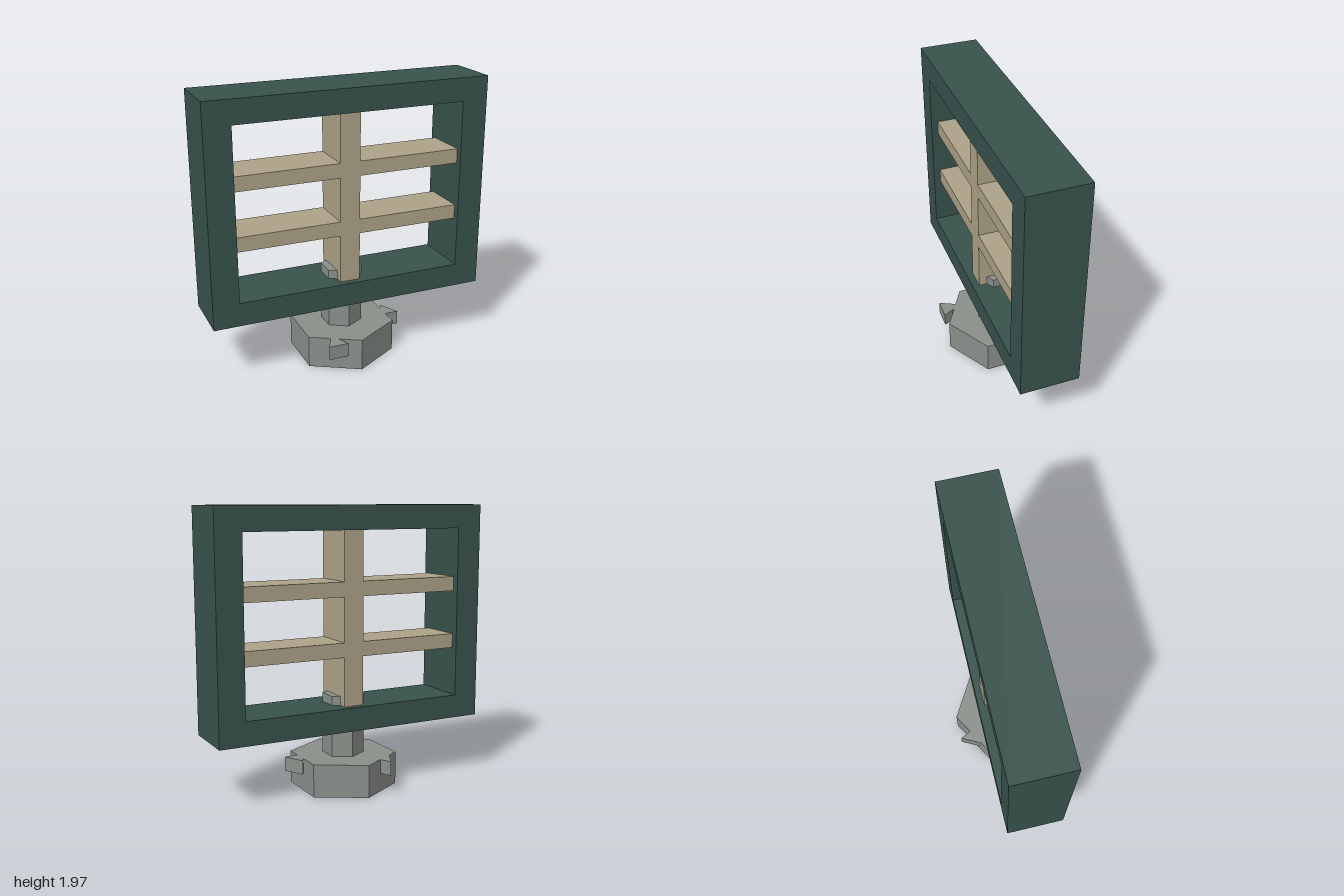
import * as THREE from 'three';

export function createModel() {
  const model = new THREE.Group();
  const green = new THREE.MeshStandardMaterial({ color: 0x38524c, flatShading: true });
  green.name = 'dark green';
  const tan = new THREE.MeshStandardMaterial({ color: 0xada287, flatShading: true });
  tan.name = 'tan';
  const grey = new THREE.MeshStandardMaterial({ color: 0x8a8f8a, flatShading: true });
  grey.name = 'grey';

  const add = (name, geometry, material, x = 0, y = 0, z = 0) => {
    const mesh = new THREE.Mesh(geometry, material);
    mesh.name = name;
    mesh.position.set(x, y, z);
    model.add(mesh);
    return mesh;
  };

  // Rectangle path, used for the frame outline and its opening
  const rect = (path, x, y0, y1) => {
    path.moveTo(-x, y0);
    path.lineTo(x, y0);
    path.lineTo(x, y1);
    path.lineTo(-x, y1);
    path.closePath();
    return path;
  };

  // Deep rectangular frame
  const outline = rect(new THREE.Shape(), 1, 0.43, 1.97);
  outline.holes.push(rect(new THREE.Path(), 0.815, 0.597, 1.805));
  const frameDepth = 0.415;
  add('frame', new THREE.ExtrudeGeometry(outline, { depth: frameDepth, bevelEnabled: false }),
    green, 0, 0, -frameDepth / 2);

  // Upright divider and two shelves, set back from the frame's faces
  add('divider', new THREE.BoxGeometry(0.145, 1.21, 0.32), tan, 0, 1.201, 0);
  for (const y of [0.993, 1.408]) {
    add('shelf', new THREE.BoxGeometry(1.63, 0.103, 0.32), tan, 0, y, 0);
  }

  // Six-sided stem rising through the frame's floor
  add('stem', new THREE.CylinderGeometry(0.145, 0.145, 0.485, 6), grey, 0, 0.4175, 0);

  // Six-sided foot, hollowed from below
  const footProfile = [[0, 0.18], [0.3, 0.18], [0.375, 0], [0.375, 0.23], [0, 0.23]]
    .map(([r, y]) => new THREE.Vector2(r, y));
  add('foot', new THREE.LatheGeometry(footProfile, 6), grey);

  // Three wedge lugs around the foot, all pointing to the back
  const wedge = new THREE.Shape([[-0.0725, -0.0725], [0.0725, -0.0725], [0, 0.0725]]
    .map(([x, y]) => new THREE.Vector2(x, y)));
  const lugGeometry = new THREE.ExtrudeGeometry(wedge, { depth: 0.1, bevelEnabled: false });
  lugGeometry.rotateX(-Math.PI / 2);
  for (let i = 0; i < 3; i++) {
    const a = (i * Math.PI * 2) / 3;
    add('lug', lugGeometry, grey, 0.35 * Math.cos(a), 0.13, 0.35 * Math.sin(a));
  }

  return model;
}
